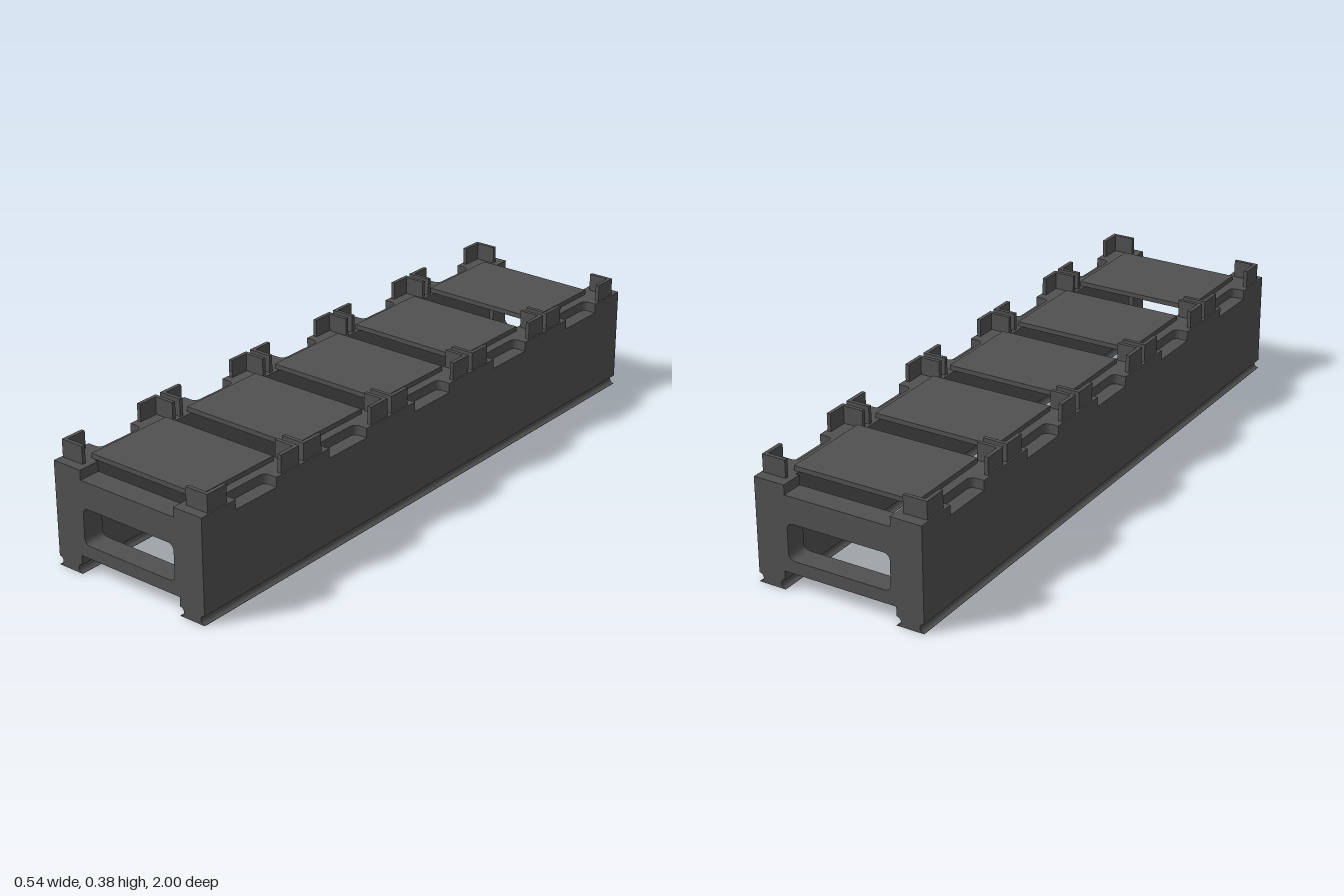
import * as THREE from 'three';

const OUT = 0.272, IN = 0.184;      // outer and inner faces of the side walls
const RIM = 0.325, POCKET = 0.295;  // rim height and pocket floor height
const END = 0.07;                   // end wall thickness
const bays = [0, 1, 2, 3, 4];

export function createModel() {
  const group = new THREE.Group();
  const grey = new THREE.MeshStandardMaterial({ color: 0x505050 });
  grey.name = 'dark grey';

  const add = (name, geometry, x = 0, y = 0, z = 0) => {
    const mesh = new THREE.Mesh(geometry, grey);
    mesh.name = name;
    mesh.position.set(x, y, z);
    group.add(mesh);
  };
  const box = (name, w, h, d, x, y, z) => add(name, new THREE.BoxGeometry(w, h, d), x, y, z);
  const extrude = (shape, depth) =>
    new THREE.ExtrudeGeometry(shape, { depth, bevelEnabled: false, curveSegments: 8 });
  const mirrored = (points, s) => new THREE.Shape(points.map(([x, y]) => new THREE.Vector2(s * x, y)));
  const arc = (cx, cy, r, from, to, n) => Array.from({ length: n + 1 }, (_, i) => {
    const a = from + (to - from) * i / n;
    return [cx + r * Math.cos(a), cy + r * Math.sin(a)];
  });
  const H = Math.PI / 2;

  // Side wall section with a round groove on both sides of the foot rail
  const section = [
    [IN, 0], [OUT, 0], ...arc(OUT, 0.015, 0.014, 3 * H, H, 12),
    [OUT, POCKET], [IN, POCKET], ...arc(IN, 0.015, 0.014, H, -H, 12),
  ];

  // Rim plan: finger pockets cut into the outer edge, end corners reach inwards
  const rim = [[0.172, -1], [OUT, -1]];
  const pocketDepth = 0.044, half = 0.083, r = 0.018;
  for (const k of bays) {
    const c = -0.782 + 0.391 * k, x = OUT - pocketDepth + r;
    rim.push([OUT, c - half],
      ...arc(x, c - half + r, r, -H, -2 * H, 5),
      ...arc(x, c + half - r, r, 2 * H, H, 5),
      [OUT, c + half]);
  }
  rim.push([OUT, 1], [0.172, 1], [0.172, 1 - END], [IN, 1 - END], [IN, END - 1], [0.172, END - 1]);

  for (const s of [1, -1]) {
    const side = s > 0 ? 'left' : 'right';
    add(side + 'Wall', extrude(mirrored(section, s), 2), 0, 0, -1);
    const top = extrude(mirrored(rim, s), RIM - POCKET);
    top.rotateX(-H);
    add(side + 'Rim', top, 0, POCKET, 0);

    // L-shaped corner brackets around every bay
    for (const k of bays) {
      const c = 0.784 - 0.391 * k;
      for (const e of [1, -1]) {
        box(side + 'BracketSide', 0.012, 0.055, 0.076, s * 0.261, 0.3525, c + e * 0.148);
        box(side + 'BracketEnd', 0.064, 0.055, 0.012, s * 0.223, 0.3525, c + e * 0.18);
      }
    }
  }

  // End walls with a rounded handle opening
  const end = new THREE.Shape();
  end.moveTo(-IN, 0.058);
  end.lineTo(IN, 0.058);
  end.lineTo(IN, POCKET);
  end.lineTo(-IN, POCKET);
  end.closePath();
  const w = 0.168, b = 0.098, t = 0.212, q = 0.02;
  const hole = new THREE.Path();
  hole.absarc(w - q, b + q, q, -H, 0);
  hole.absarc(w - q, t - q, q, 0, H);
  hole.absarc(q - w, t - q, q, H, 2 * H);
  hole.absarc(q - w, b + q, q, 2 * H, 3 * H);
  hole.closePath();
  end.holes.push(hole);
  add('frontEndWall', extrude(end, END), 0, 0, 1 - END);
  add('backEndWall', extrude(end, END), 0, 0, -1);

  // Flat plates lying across the walls
  for (const k of bays) box('plate', 0.4, 0.015, 0.298, 0, 0.3325, -0.767 + 0.386 * k);

  return group;
}
